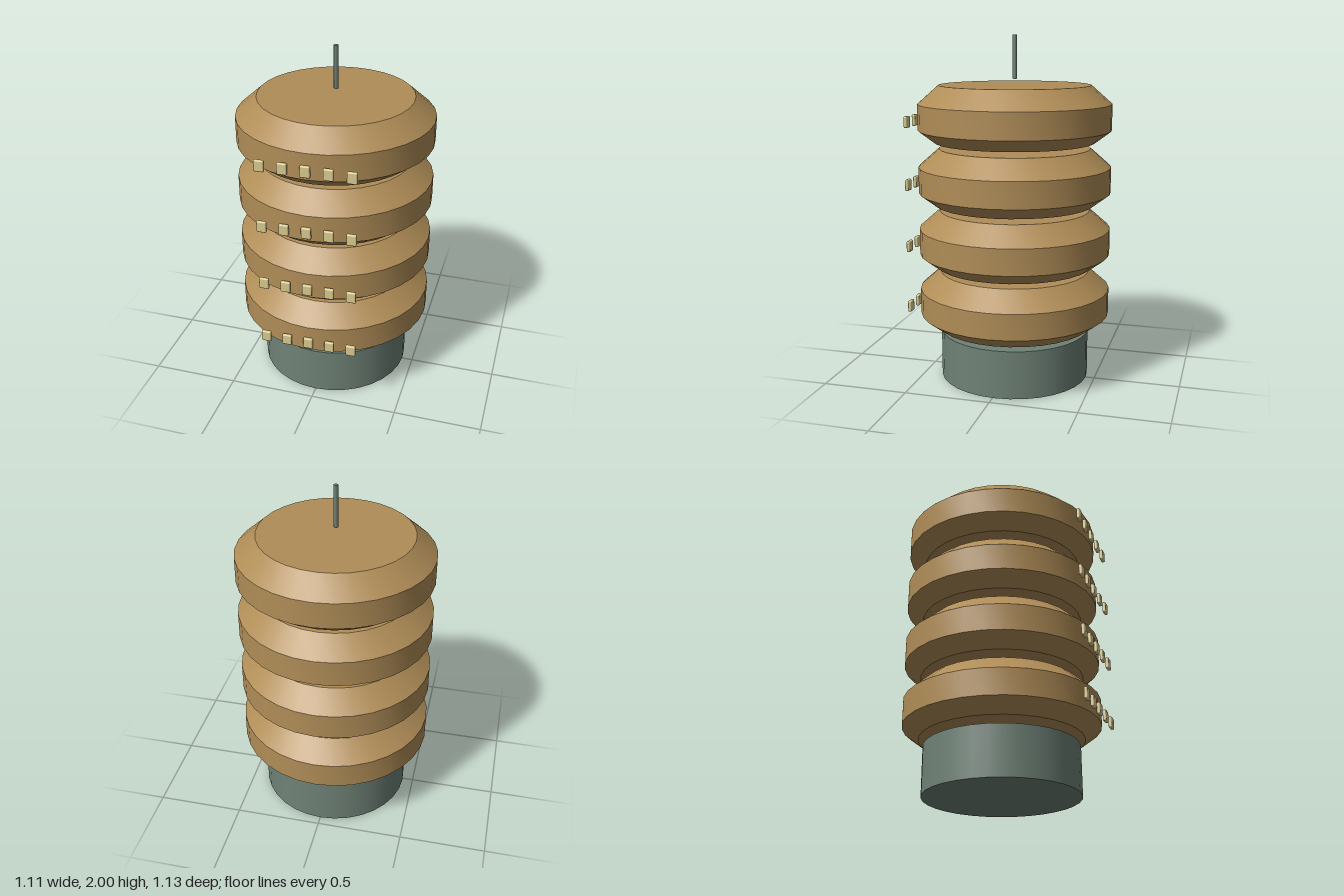
import * as THREE from 'three';
import { toCreasedNormals } from 'three/addons/utils/BufferGeometryUtils.js';
import { RoundedBoxGeometry } from 'three/addons/geometries/RoundedBoxGeometry.js';

const CENTER_Z = -0.011;
const TIERS = 4, TIER_STEP = 0.36, TIER_BOTTOM = 0.317;
const SIDES = 32;

function material(name, color) {
  const m = new THREE.MeshStandardMaterial({ color });
  m.name = name;
  return m;
}

export function createModel() {
  const model = new THREE.Group();
  model.name = 'tieredTower';
  const bronze = material('bronze', 0xb08d57);
  const greyGreen = material('greyGreen', 0x6f8277);
  const paleYellow = material('paleYellow', 0xd8c98f);

  const add = (name, geometry, mat, x, y, z, parent = model) => {
    const mesh = new THREE.Mesh(geometry, mat);
    mesh.name = name;
    mesh.position.set(x, y, z);
    parent.add(mesh);
    return mesh;
  };

  // Round base
  add('base', new THREE.CylinderGeometry(0.437, 0.437, 0.28, SIDES), greyGreen, 0, 0.14, CENTER_Z);

  // Tier: closed drum with sloped underside and sloped roof
  const profile = [[0, 0], [0.463, 0], [0.556, 0.07], [0.556, 0.219], [0.437, 0.324], [0, 0.324]]
    .map(([r, y]) => new THREE.Vector2(r, y));
  const tierGeometry = toCreasedNormals(new THREE.LatheGeometry(profile, SIDES), 0.4);

  // Small window blocks in a straight row across the front
  const windowGeometry = new RoundedBoxGeometry(0.055, 0.065, 0.021, 2, 0.007);

  for (let i = 0; i < TIERS; i++) {
    const tier = new THREE.Group();
    tier.name = `tier${i + 1}`;
    tier.position.y = TIER_BOTTOM + i * TIER_STEP;
    model.add(tier);
    add('drum', tierGeometry, bronze, 0, 0, CENTER_Z, tier);
    for (let w = -2; w <= 2; w++) {
      add('window', windowGeometry, paleYellow, w * 0.124, 0.121, 0.553, tier);
    }
  }

  // Mast floating just above the roof
  add('mast', new THREE.CylinderGeometry(0.013, 0.013, 0.245, 8), greyGreen, 0, 1.8775, CENTER_Z);

  return model;
}
